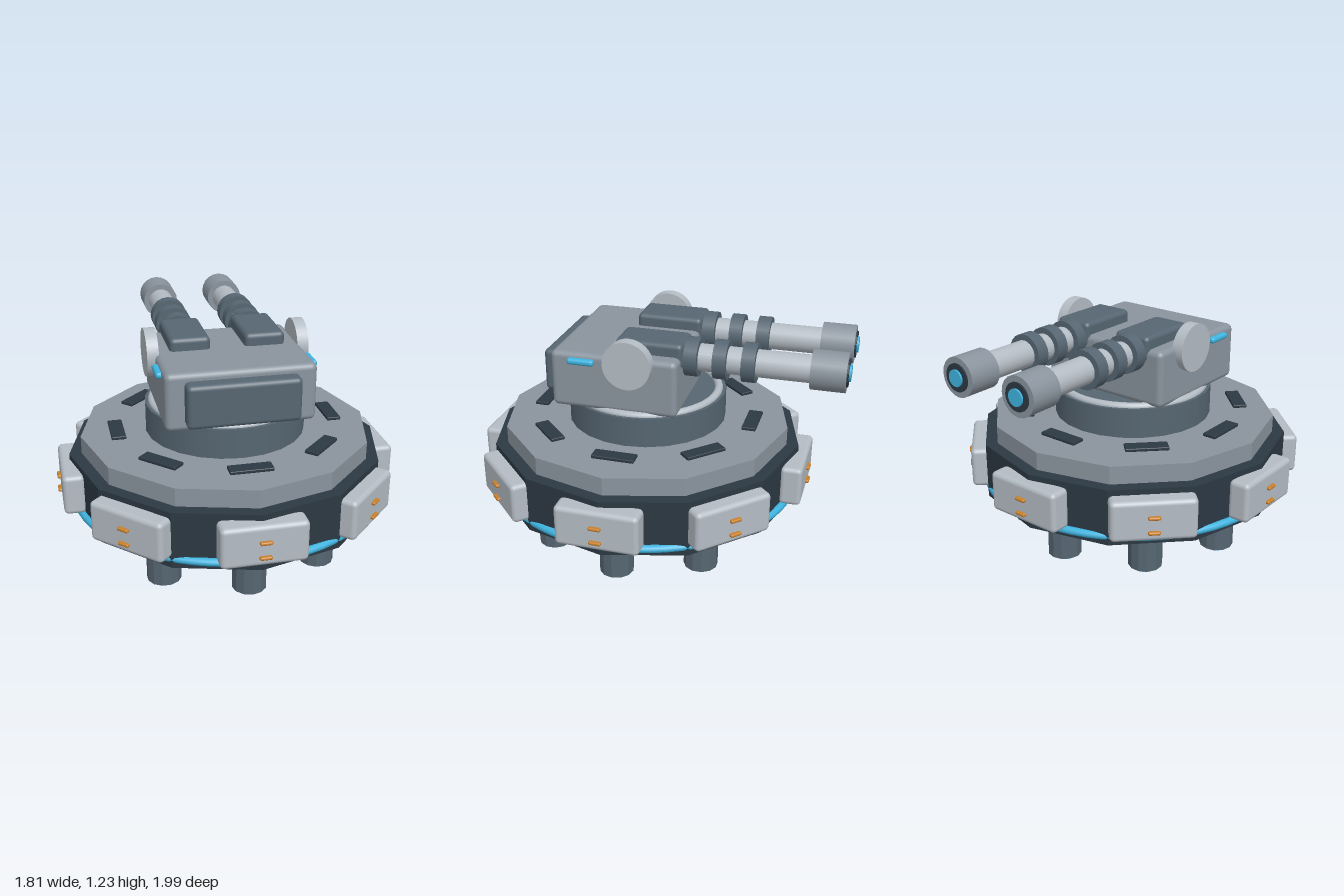
import * as THREE from 'three';
import { RoundedBoxGeometry } from 'three/addons/geometries/RoundedBoxGeometry.js';

const mat = (color, flatShading = false) => new THREE.MeshStandardMaterial({ color, flatShading });

export function createModel() {
  const model = new THREE.Group();
  model.name = 'turret';
  const CZ = 0.085; // z of the base axis

  const deckGrey = mat(0x8a949e, true), hull = mat(0x8a949e), plate = mat(0xb4bcc4);
  const slate = mat(0x566672), slateFlat = mat(0x566672, true);
  const dark = mat(0x2c3843, true), glow = mat(0x3fb4e0), amber = mat(0xc8802c);

  const add = (parent, name, geometry, material, x = 0, y = 0, z = 0) => {
    const mesh = new THREE.Mesh(geometry, material);
    mesh.name = name;
    mesh.position.set(x, y, z);
    parent.add(mesh);
    return mesh;
  };
  const rbox = (w, h, d, r) => new RoundedBoxGeometry(w, h, d, 3, r);
  // Upright cylinder between two heights
  const drum = (parent, name, r, y0, y1, sides, material, z = 0) =>
    add(parent, name, new THREE.CylinderGeometry(r, r, y1 - y0, sides), material, 0, (y0 + y1) / 2, z);
  // Cylinder along z between two depths
  const barrelPart = (parent, name, r, z0, z1, material) => {
    const g = new THREE.CylinderGeometry(r, r, Math.abs(z1 - z0), 20).rotateX(Math.PI / 2);
    return add(parent, name, g, material, 0, 0, (z0 + z1) / 2);
  };

  // Twelve-sided base discs
  const base = new THREE.Group();
  base.name = 'base';
  base.position.z = CZ;
  model.add(base);
  drum(base, 'lowerDisc', 0.69, 0.19, 0.27, 12, deckGrey);
  drum(base, 'middleDisc', 0.835, 0.27, 0.57, 12, dark);
  drum(base, 'upperDeck', 0.77, 0.57, 0.665, 12, deckGrey);
  add(base, 'glowRing', new THREE.TorusGeometry(0.815, 0.021, 10, 64).rotateX(Math.PI / 2), glow, 0, 0.312, 0);

  // Eight sectors: armour plate, lights, deck slot and thruster
  for (let i = 0; i < 8; i++) {
    const sector = new THREE.Group();
    sector.name = 'sector' + (i + 1);
    sector.rotation.y = (i * Math.PI) / 4;
    base.add(sector);
    add(sector, 'armourPlate', rbox(0.43, 0.215, 0.115, 0.025), plate, 0, 0.4325, 0.83);
    for (const y of [0.375, 0.455])
      add(sector, 'plateLight', rbox(0.062, 0.018, 0.03, 0.008), amber, 0, y, 0.891);
    add(sector, 'deckSlot', rbox(0.22, 0.018, 0.075, 0.005), dark, 0, 0.686, 0.58);
    drum(sector, 'thruster', 0.09, 0.018, 0.243, 12, slateFlat, 0.58);
    drum(sector, 'thrusterGlow', 0.062, 0, 0.03, 16, glow, 0.58);
  }

  // Rotating neck with a bright rim
  drum(base, 'neck', 0.425, 0.665, 0.822, 24, slate);
  add(base, 'neckRim', new THREE.TorusGeometry(0.385, 0.022, 10, 48).rotateX(Math.PI / 2), plate, 0, 0.822, 0);

  // Gun house
  const head = new THREE.Group();
  head.name = 'gunHouse';
  model.add(head);
  add(head, 'housing', rbox(0.76, 0.3, 0.66, 0.03), hull, 0, 0.975, 0.155);
  add(head, 'frontPlate', rbox(0.57, 0.225, 0.12, 0.025), slate, 0, 0.9725, 0.5);

  for (const side of [-1, 1]) {
    // Side disc and light strip
    add(head, 'sideDisc', new THREE.CylinderGeometry(0.125, 0.125, 0.06, 32).rotateZ(Math.PI / 2),
      plate, side * 0.39, 1.1, 0.07);
    add(head, 'sideLight', rbox(0.04, 0.032, 0.14, 0.014), glow, side * 0.388, 1.086, 0.318);
    // Breech cover on the roof
    add(head, 'breechCover', rbox(0.21, 0.13, 0.35, 0.025), slate, side * 0.195, 1.125, -0.008);

    // Gun barrel with collars and muzzle
    const gun = new THREE.Group();
    gun.name = side > 0 ? 'leftGun' : 'rightGun';
    gun.position.set(side * 0.195, 1.1, 0);
    head.add(gun);
    barrelPart(gun, 'barrel', 0.07, 0.05, -0.85, plate);
    for (const z of [-0.218, -0.364, -0.508])
      barrelPart(gun, 'collar', 0.1, z + 0.034, z - 0.034, slate);
    barrelPart(gun, 'muzzle', 0.1, -0.81, -0.982, hull);
    barrelPart(gun, 'bore', 0.07, -0.95, -0.99, dark);
    barrelPart(gun, 'boreGlow', 0.042, -0.95, -1.0, glow);
  }
  return model;
}
